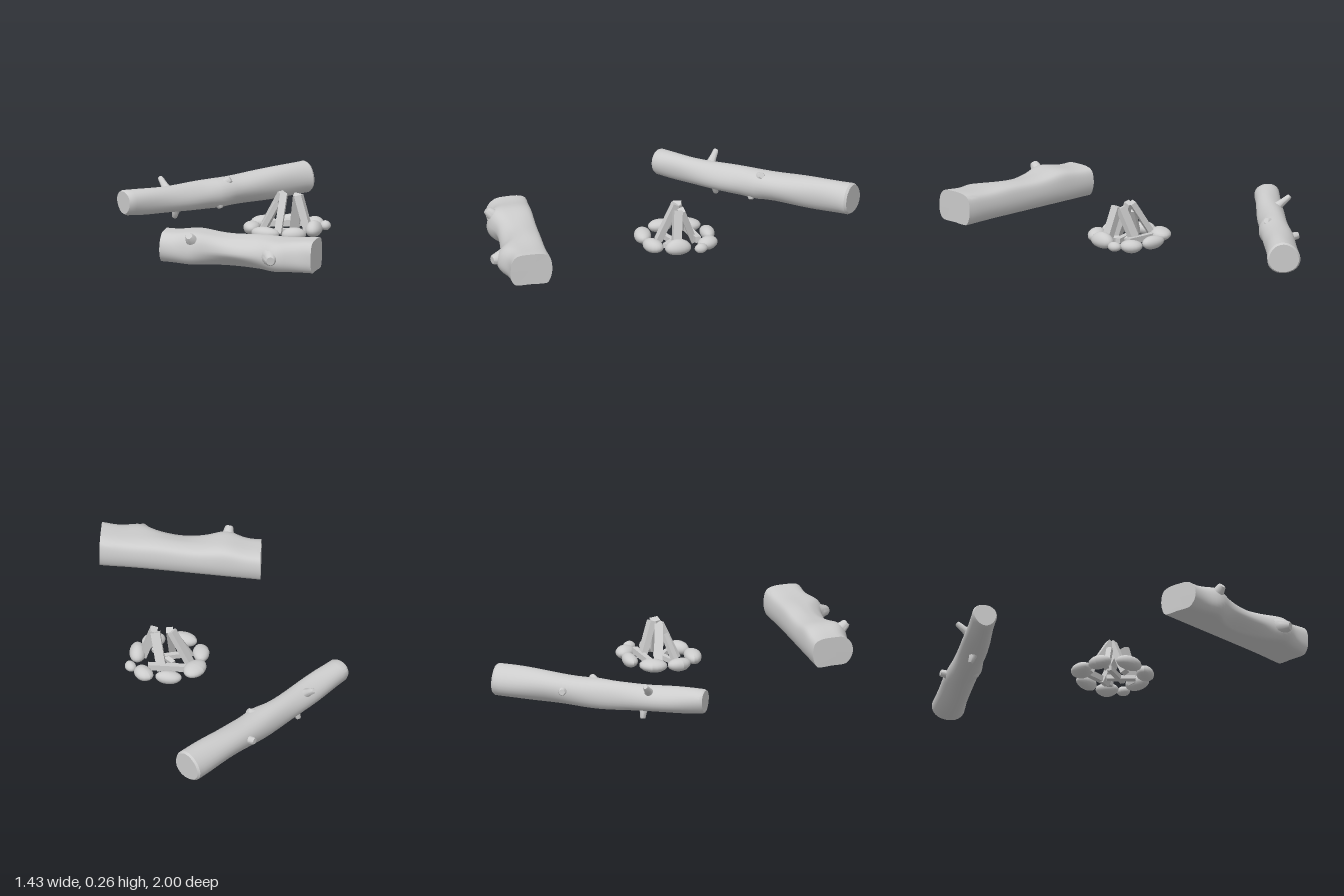
import * as THREE from 'three';
import { toCreasedNormals } from 'three/addons/utils/BufferGeometryUtils.js';

const V = (x, y, z) => new THREE.Vector3(x, y, z);
const bell = (d, w) => Math.exp(-(d * d) / (w * w));

// Skin a list of closed rings and cap both ends
function loft(rings, crease) {
  const n = rings[0].length, pos = [], idx = [];
  rings.forEach(r => r.forEach(p => pos.push(p.x, p.y, p.z)));
  for (let i = 0; i < rings.length - 1; i++) {
    for (let j = 0; j < n; j++) {
      const k = (j + 1) % n, a = i * n + j, b = i * n + k;
      idx.push(a, b, b + n, a, b + n, a + n);
    }
  }
  for (const end of [0, rings.length - 1]) {
    const c = V(0, 0, 0);
    rings[end].forEach(p => c.addScaledVector(p, 1 / n));
    const ci = pos.length / 3;
    pos.push(c.x, c.y, c.z);
    for (let j = 0; j < n; j++) {
      const a = end * n + j, b = end * n + (j + 1) % n;
      if (end) idx.push(ci, a, b); else idx.push(ci, b, a);
    }
  }
  const g = new THREE.BufferGeometry();
  g.setAttribute('position', new THREE.Float32BufferAttribute(pos, 3));
  g.setIndex(idx);
  return toCreasedNormals(g, crease);
}

export function createModel() {
  const model = new THREE.Group();
  model.name = 'campfireWithLogs';
  const grey = new THREE.MeshStandardMaterial({ color: 0xcccccc });
  grey.name = 'pale grey';

  const add = (parent, name, geo) => {
    const m = new THREE.Mesh(geo, grey);
    m.name = name;
    parent.add(m);
    return m;
  };
  const group = name => {
    const g = new THREE.Group();
    g.name = name;
    model.add(g);
    return g;
  };
  // Aim a part's y axis from a to b
  const aim = (mesh, a, b) => {
    mesh.position.copy(a);
    mesh.quaternion.setFromUnitVectors(V(0, 1, 0), b.clone().sub(a).normalize());
  };
  // Broken branch with a flared root
  const stub = (parent, a, b, r0, r1) => {
    const l = a.distanceTo(b);
    const profile = [[r0 * 1.5, 0], [r0 * 1.1, l * 0.3], [r0 * 0.9, l * 0.55], [r1, l * 0.93], [r1 * 0.8, l], [0, l]]
      .map(p => new THREE.Vector2(...p));
    aim(add(parent, 'branchStub', toCreasedNormals(new THREE.LatheGeometry(profile, 14), 0.8)), a, b);
  };

  // Long round log, slightly sagging, thicker at the back end
  const longLog = group('longLog');
  const path = new THREE.CatmullRomCurve3([
    V(-0.667, 0.127, -0.03), V(-0.515, 0.111, -0.24), V(-0.35, 0.107, -0.48),
    V(-0.18, 0.118, -0.72), V(-0.015, 0.125, -0.953)]);
  const side = V(-0.817, 0, -0.576);
  const stations = [0, 0.012];
  for (let i = 1; i < 24; i++) stations.push(i / 24);
  stations.push(0.99, 1);
  const longRings = stations.map((t, i) => {
    const c = path.getPoint(t);
    const edge = i === 0 || i === stations.length - 1 ? 0.9 : 1;
    return Array.from({ length: 28 }, (_, j) => {
      const a = j / 28 * Math.PI * 2;
      const r = edge * (0.064 + 0.02 * t + 0.0025 * Math.sin(3 * a + 9 * t) + 0.002 * Math.sin(2 * a - 17 * t)
        + 0.012 * bell(t - 0.53, 0.05) * bell(Math.cos(a) + 0.9, 0.6));
      return c.clone().addScaledVector(side, r * Math.cos(a)).add(V(0, r * Math.sin(a), 0));
    });
  });
  add(longLog, 'longTrunk', loft(longRings, 0.6));
  stub(longLog, V(-0.515, 0.14, -0.28), V(-0.578, 0.205, -0.325), 0.02, 0.014);
  stub(longLog, V(-0.475, 0.07, -0.30), V(-0.494, 0.004, -0.312), 0.02, 0.014);
  stub(longLog, V(-0.325, 0.135, -0.5), V(-0.262, 0.18, -0.515), 0.029, 0.018);
  stub(longLog, V(-0.32, 0.08, -0.47), V(-0.298, 0.036, -0.465), 0.024, 0.014);
  stub(longLog, V(-0.25, 0.12, -0.66), V(-0.328, 0.13, -0.695), 0.024, 0.019);

  // Short bench log with a flat underside and a hollowed front shoulder
  const benchLog = group('benchLog');
  const section = new THREE.CatmullRomCurve3([
    [0.74, 0.05], [0.718, 0.09], [0.714, 0.14], [0.728, 0.185], [0.76, 0.2], [0.83, 0.203], [0.89, 0.196],
    [0.922, 0.165], [0.93, 0.12], [0.922, 0.08], [0.895, 0.05], [0.82, 0.05]
  ].map(([z, y]) => V(0, y, z)), true).getPoints(40).slice(0, 40);
  const benchRings = [];
  for (let i = 0; i <= 36; i++) {
    const t = i / 36, x0 = -0.12 + 0.83 * t;
    benchRings.push(section.map(p => {
      const front = THREE.MathUtils.clamp((p.z - 0.8) / 0.1, 0, 1);
      const high = THREE.MathUtils.clamp((p.y - 0.1) / 0.1, 0, 1);
      const low = THREE.MathUtils.clamp((0.12 - p.y) / 0.06, 0, 1);
      const slant = (p.z - 0.82) * (0.13 * (1 - t) + 0.09 * t);
      let z = p.z + 0.006 * Math.sin(x0 * 11 + p.y * 25) * front;
      z -= 0.03 * front * high * bell(x0 - 0.3, 0.14);
      z -= 0.035 * front * low * bell(x0 - 0.24, 0.16);
      z += 0.028 * front * bell(x0 - 0.06, 0.07) + 0.035 * front * bell(x0 - 0.52, 0.07);
      z -= 0.008 * (1 - front) * bell(t - 1, 0.15);
      let y = p.y + high * (0.01 * bell(x0 - 0.06, 0.08) + 0.008 * bell(t - 1, 0.2)
        - 0.014 * front * bell(x0 - 0.33, 0.16) + 0.003 * Math.sin(x0 * 19));
      return V(x0 + slant, Math.max(0.048, y), z);
    }));
  }
  add(benchLog, 'benchTrunk', loft(benchRings, 0.65));
  stub(benchLog, V(0.07, 0.15, 0.89), V(0.065, 0.208, 0.957), 0.034, 0.022);
  stub(benchLog, V(0.49, 0.125, 0.9), V(0.525, 0.118, 0.992), 0.042, 0.026);

  // Ring of smooth stones: x, y, z, half sizes, turn
  const stones = group('stoneRing');
  [
    [0.20, 0.072, -0.167, 0.068, 0.034, 0.037, 0.05],
    [0.335, 0.072, -0.15, 0.058, 0.034, 0.044, -0.8],
    [0.41, 0.075, -0.107, 0.028, 0.026, 0.034, 0.2],
    [0.393, 0.08, 0.01, 0.043, 0.04, 0.07, 0.15],
    [0.33, 0.07, 0.13, 0.065, 0.034, 0.046, 0.7],
    [0.183, 0.068, 0.163, 0.08, 0.033, 0.046, -0.15],
    [0.072, 0.07, 0.06, 0.042, 0.034, 0.064, 0.25],
    [0.08, 0.074, -0.08, 0.052, 0.036, 0.07, -0.35]
  ].forEach(([x, y, z, sx, sy, sz, turn], k) => {
    const g = new THREE.SphereGeometry(1, 18, 12), p = g.attributes.position;
    for (let i = 0; i < p.count; i++) {
      const v = V(p.getX(i), p.getY(i), p.getZ(i));
      const f = 1 + 0.07 * Math.sin(2.2 * v.x + k * 1.7) * Math.cos(2 * v.z + k) + 0.04 * Math.sin(3 * v.y + k);
      p.setXYZ(i, v.x * f * sx, v.y * f * sy, v.z * f * sz);
    }
    g.computeVertexNormals();
    const m = add(stones, 'stone', g);
    m.position.set(x, y, z);
    m.rotation.y = turn;
  });

  // Split firewood: base, top, width, thickness, twist
  const wood = group('firewood');
  [
    [V(0.225, 0.055, 0.09), V(0.225, 0.25, 0.0), 0.036, 0.034, 0.2],
    [V(0.25, 0.055, -0.09), V(0.295, 0.242, -0.02), 0.048, 0.032, 0.1],
    [V(0.365, 0.06, 0.015), V(0.305, 0.245, 0.0), 0.038, 0.045, 0.1],
    [V(0.10, 0.06, -0.045), V(0.212, 0.25, -0.008), 0.03, 0.044, -0.3],
    [V(0.12, 0.055, 0.06), V(0.19, 0.2, 0.015), 0.026, 0.028, 0.5],
    [V(0.11, 0.07, -0.07), V(0.32, 0.085, -0.105), 0.032, 0.03, 0.2],
    [V(0.13, 0.055, 0.07), V(0.3, 0.06, 0.0), 0.026, 0.026, 0.4],
    [V(0.2, 0.052, -0.02), V(0.32, 0.06, 0.07), 0.024, 0.024, 0.7]
  ].forEach(([a, b, w, d, twist]) => {
    const l = a.distanceTo(b);
    const g = new THREE.BoxGeometry(w, l, d).translate(0, l / 2, 0).rotateY(twist);
    aim(add(wood, 'stick', g), a, b);
  });

  return model;
}
